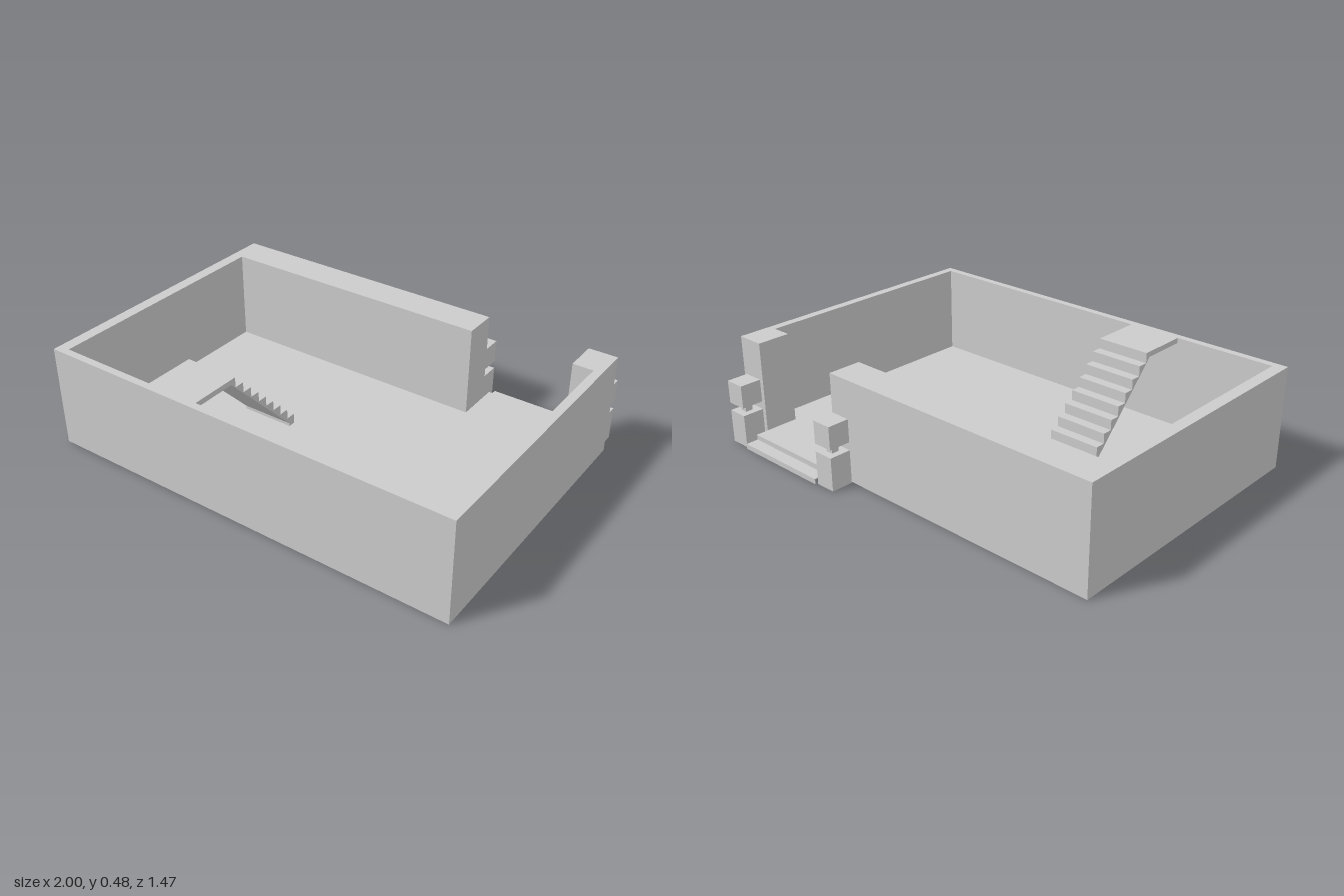
import * as THREE from 'three';

const material = new THREE.MeshStandardMaterial({ color: 0xcccccc, flatShading: true });
const sheetMaterial = new THREE.MeshStandardMaterial({ color: 0xcccccc, flatShading: true, side: THREE.DoubleSide });

const FLOOR = 0.05, TOP = 0.48;

function add(parent, name, geometry, mat = material) {
  const mesh = new THREE.Mesh(geometry, mat);
  mesh.name = name;
  parent.add(mesh);
  return mesh;
}

// Box given by its min and max corners
function box(x0, x1, y0, y1, z0, z1) {
  return new THREE.BoxGeometry(x1 - x0, y1 - y0, z1 - z0)
    .translate((x0 + x1) / 2, (y0 + y1) / 2, (z0 + z1) / 2);
}

// Side profile of [z, y] points swept from x0 to x1
function sweepX(points, x0, x1) {
  const shape = new THREE.Shape(points.map(([z, y]) => new THREE.Vector2(-z, y)));
  return new THREE.ExtrudeGeometry(shape, { depth: x1 - x0, bevelEnabled: false })
    .rotateY(Math.PI / 2).translate(x0, 0, 0);
}

export function createModel() {
  const model = new THREE.Group();
  model.name = 'walledYard';

  // Wall plan [x, z]: a closed ring with a gateway in the thick back wall
  const plan = [
    [0.38, -0.615], [-1, -0.615], [-1, 0.73], [1, 0.73], [1, -0.615], [0.865, -0.615],
    [0.865, -0.455], [0.96, -0.455], [0.96, 0.695], [-0.945, 0.695], [-0.945, -0.455], [0.38, -0.455],
  ];
  const wallBase = FLOOR - 0.002;
  const wallShape = new THREE.Shape(plan.map(([x, z]) => new THREE.Vector2(x, -z)));
  add(model, 'walls', new THREE.ExtrudeGeometry(wallShape, { depth: TOP - wallBase, bevelEnabled: false })
    .rotateX(-Math.PI / 2).translate(0, wallBase, 0));

  // Thin skirts carry the wall faces down to the ground, open beneath
  const skirts = new THREE.Group();
  skirts.name = 'wallSkirts';
  model.add(skirts);
  plan.forEach(([x0, z0], i) => {
    const [x1, z1] = plan[(i + 1) % plan.length];
    add(skirts, 'wallSkirt', new THREE.PlaneGeometry(Math.hypot(x1 - x0, z1 - z0), wallBase)
      .rotateY(-Math.atan2(z1 - z0, x1 - x0))
      .translate((x0 + x1) / 2, wallBase / 2, (z0 + z1) / 2), sheetMaterial);
  });

  // Raised floor
  add(model, 'floor', box(-0.998, 0.998, FLOOR - 0.004, FLOOR, -0.615, 0.728));

  // Two shallow steps outside the gateway, a thin folded sheet
  add(model, 'gatewaySteps', sweepX([
    [-0.735, 0], [-0.735, 0.025], [-0.675, 0.025], [-0.675, FLOOR], [-0.615, FLOOR],
    [-0.615, 0.045], [-0.67, 0.045], [-0.67, 0.02], [-0.73, 0.02], [-0.73, 0],
  ], 0.38, 0.865));

  // Staircase with a sloping underside and a landing flush with the wall top
  const risers = 9, start = 0.075, run = 0.0475;
  const rise = (TOP - FLOOR) / risers;
  const profile = [[start, 0]];
  for (let i = 0; i < risers; i++) {
    const z = start + i * run;
    if (i > 0) profile.push([z, FLOOR + i * rise]);
    profile.push([z, FLOOR + (i + 1) * rise]);
  }
  profile.push([0.697, TOP], [0.697, 0.455], [0.48, 0.455], [0.11, 0.065], [0.11, 0]);
  add(model, 'staircase', sweepX(profile, -0.47, -0.215));

  // Gate posts: base block, narrow neck and top block
  for (const x of [0.3225, 0.9275]) {
    const post = new THREE.Group();
    post.name = 'gatePost';
    post.position.set(x, 0, -0.6725);
    model.add(post);
    add(post, 'postBase', box(-0.049, 0.049, 0, 0.157, -0.052, 0.052));
    add(post, 'postNeck', box(-0.018, 0.018, 0.157, 0.195, -0.018, 0.018));
    add(post, 'postTop', box(-0.049, 0.049, 0.195, 0.303, -0.052, 0.052));
  }

  return model;
}
